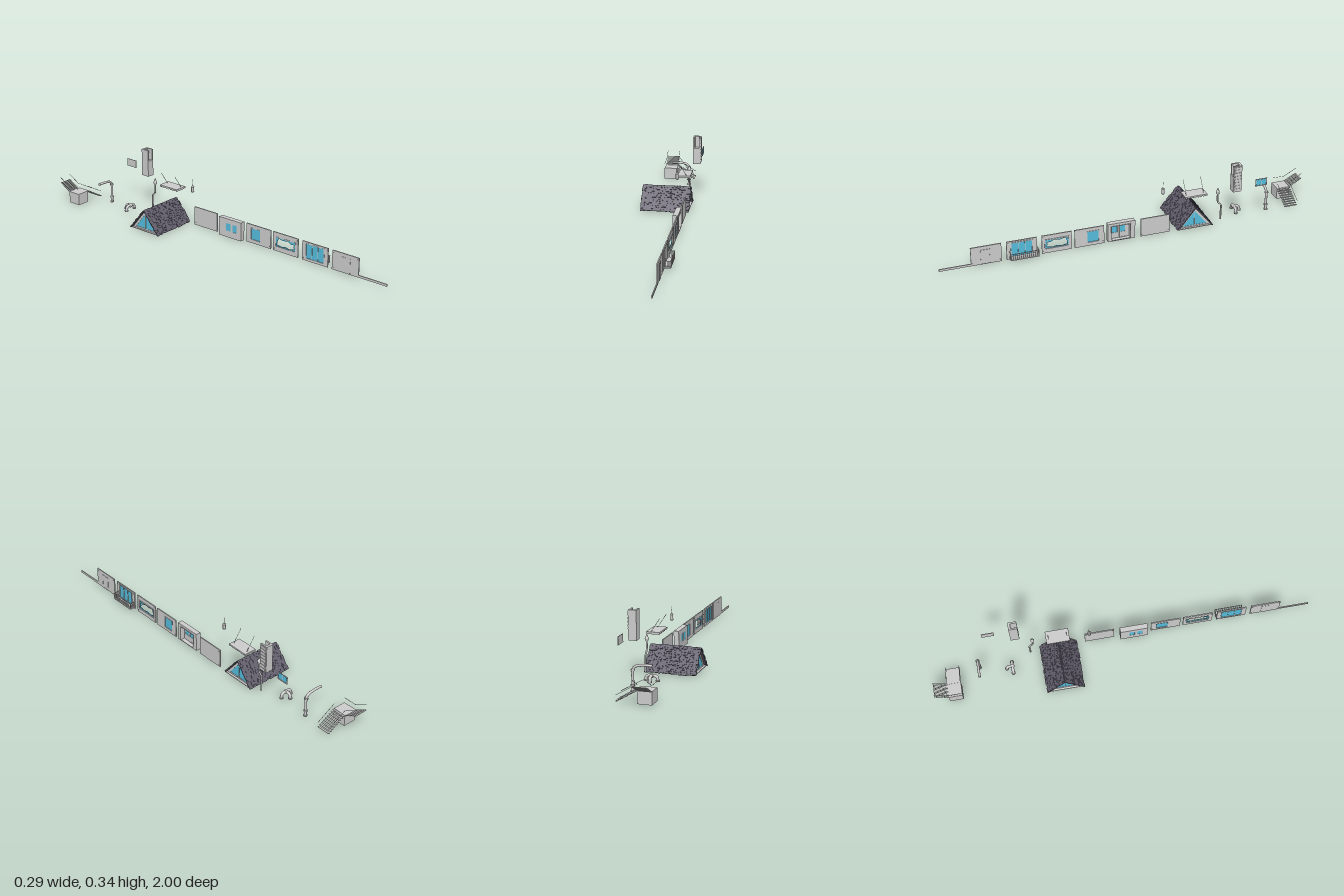
import * as THREE from 'three';

const grey = new THREE.MeshStandardMaterial({ color: 0xcccccc, side: THREE.DoubleSide });
const glass = new THREE.MeshStandardMaterial({ color: 0x55bcdc, side: THREE.DoubleSide });
const slate = new THREE.MeshStandardMaterial({ color: 0x625e6c });

let seed = 7;
const rand = () => (seed = (seed * 16807) % 2147483647) / 2147483647;

function add(parent, name, geometry, material = grey) {
  const mesh = new THREE.Mesh(geometry, material);
  mesh.name = name;
  parent.add(mesh);
  return mesh;
}
// Box given by its limits on each axis
function box(parent, name, x, y, z, material) {
  const m = add(parent, name, new THREE.BoxGeometry(Math.abs(x[1] - x[0]), Math.abs(y[1] - y[0]), Math.abs(z[1] - z[0])), material);
  m.position.set((x[0] + x[1]) / 2, (y[0] + y[1]) / 2, (z[0] + z[1]) / 2);
  return m;
}
function cyl(parent, name, x, y0, y1, z, rBottom, rTop = rBottom, sides = 12) {
  const m = add(parent, name, new THREE.CylinderGeometry(rTop, rBottom, y1 - y0, sides));
  m.position.set(x, (y0 + y1) / 2, z);
  return m;
}
function tube(parent, name, points, radius) {
  const curve = new THREE.CatmullRomCurve3(points.map(p => new THREE.Vector3(...p)));
  return add(parent, name, new THREE.TubeGeometry(curve, 24, radius, 12));
}
function rod(parent, name, a, b, radius = 0.0012) {
  const line = new THREE.LineCurve3(new THREE.Vector3(...a), new THREE.Vector3(...b));
  return add(parent, name, new THREE.TubeGeometry(line, 1, radius, 6));
}
// Extrude a polygon of [z, y] points from x0 to x1, with optional hole polygons
function plate(parent, name, pts, holes, x0, x1, material) {
  const v = list => list.map(([z, y]) => new THREE.Vector2(-z, y));
  const shape = new THREE.Shape(v(pts));
  for (const h of holes) shape.holes.push(new THREE.Path(v(h)));
  const g = new THREE.ExtrudeGeometry(shape, { depth: x1 - x0, bevelEnabled: false });
  return add(parent, name, g.rotateY(Math.PI / 2).translate(x0, 0, 0), material);
}
const rect = (z0, z1, y0, y1) => [[z0, y0], [z1, y0], [z1, y1], [z0, y1]];
const X0 = 0.1, X1 = 0.106, H = 0.101;

function frame(parent, z0, z1, y0, y1, x0, x1, t = 0.004) {
  plate(parent, 'frame', rect(z0 - t, z1 + t, y0 - t, y1 + t), [rect(z0, z1, y0, y1)], x0, x1);
}
function wall(root, name, z0, z1, holes = []) {
  const g = new THREE.Group();
  g.name = name;
  root.add(g);
  plate(g, 'wallPanel', rect(z0, z1, 0, H), holes, X0, X1);
  return g;
}

function buildWalls(root) {
  box(root, 'ledge', [X0 + 0.001, X1], [0, 0.012], [0.84, 1]);

  const door = wall(root, 'doorWall', 0.685, 0.84);
  box(door, 'doorLeaf', [X0 - 0.001, X1 + 0.001], [0.002, 0.079], [0.745, 0.788]);
  frame(door, 0.745, 0.788, 0.004, 0.079, X0 - 0.001, X1 + 0.002, 0.003);

  const balcony = wall(root, 'balconyWall', 0.505, 0.66, [rect(0.53, 0.635, 0.014, 0.09)]);
  box(balcony, 'glass', [0.102, 0.104], [0.014, 0.09], [0.53, 0.635], glass);
  frame(balcony, 0.53, 0.635, 0.014, 0.09, X0 - 0.001, X1 + 0.003);
  for (const z of [0.565, 0.6]) box(balcony, 'mullion', [0.1, 0.107], [0.014, 0.09], [z - 0.001, z + 0.001]);
  box(balcony, 'balconyFloor', [X1, 0.14], [0.01, 0.015], [0.502, 0.647]);
  box(balcony, 'handrail', [0.137, 0.14], [0.044, 0.047], [0.502, 0.647]);
  for (const z of [0.5035, 0.6455]) {
    box(balcony, 'sideHandrail', [X1, 0.14], [0.044, 0.047], [z - 0.0015, z + 0.0015]);
    for (let i = 0; i < 5; i++) box(balcony, 'sideBaluster', [0.109 + i * 0.006, 0.111 + i * 0.006], [0.015, 0.044], [z - 0.001, z + 0.001]);
  }
  for (let i = 0; i <= 14; i++) {
    const z = 0.504 + i * 0.0101;
    box(balcony, 'baluster', [0.1375, 0.1395], [0.015, 0.044], [z - 0.001, z + 0.001]);
  }

  const broken = wall(root, 'brokenWindowWall', 0.325, 0.48, [rect(0.343, 0.462, 0.026, 0.074)]);
  frame(broken, 0.343, 0.462, 0.026, 0.074, X0 - 0.001, X1 + 0.003);
  plate(broken, 'brokenGlass', rect(0.343, 0.462, 0.026, 0.074), [[
    [0.348, 0.034], [0.375, 0.029], [0.4, 0.034], [0.425, 0.029], [0.456, 0.036],
    [0.45, 0.05], [0.458, 0.06], [0.435, 0.058], [0.415, 0.069], [0.385, 0.064], [0.358, 0.07], [0.35, 0.052],
  ]], 0.102, 0.104, glass);

  const plain = wall(root, 'windowWall', 0.155, 0.31, [rect(0.185, 0.243, 0.02, 0.08)]);
  box(plain, 'glass', [0.102, 0.104], [0.02, 0.08], [0.185, 0.243], glass);
  frame(plain, 0.185, 0.243, 0.02, 0.08, X0 - 0.001, X1 + 0.002, 0.003);

  // Wall with a deep recess holding an entrance
  const bay = wall(root, 'recessedEntrance', -0.01, 0.135, [rect(0.015, 0.115, 0.003, 0.085)]);
  plate(bay, 'recessSides', rect(-0.01, 0.135, 0, H), [rect(0.015, 0.115, 0.003, 0.085)], 0.082, X0);
  frame(bay, 0.015, 0.115, 0.006, 0.085, X1, X1 + 0.002, 0.003);
  plate(bay, 'recessBack', rect(-0.01, 0.135, 0, H),
    [rect(0.036, 0.065, 0.035, 0.076), rect(0.078, 0.105, 0.035, 0.076)], 0.079, 0.082);
  box(bay, 'glass', [0.08, 0.081], [0.035, 0.076], [0.036, 0.105], glass);
  frame(bay, 0.036, 0.065, 0.006, 0.076, 0.082, 0.084, 0.003);

  wall(root, 'blankWall', -0.195, -0.04);

  // Pair of tie bolts near each end of every wall
  for (const [a, b] of [[0.685, 0.84], [0.505, 0.66], [0.325, 0.48], [0.155, 0.31], [-0.195, -0.04]])
    for (const z of [a + 0.007, b - 0.007]) for (const y of [0.012, 0.09])
      box(root, 'wallBolt', [X0 - 0.001, X1 + 0.001], [y - 0.002, y + 0.002], [z - 0.002, z + 0.002]);
}

function buildRoof(root) {
  const roof = new THREE.Group();
  roof.name = 'roof';
  roof.position.set(-0.014, 0, -0.335);
  root.add(roof);
  const run = 0.094, rise = 0.115, len = Math.hypot(run, rise);
  box(roof, 'roofBase', [-0.127, 0.127], [0, 0.004], [-run, run]);
  for (const s of [-1, 1]) {
    const [a, b] = s > 0 ? [0.112, 0.116] : [-0.116, -0.112];
    const tri = (w, y0, y1) => [[-w, y0], [w, y0], [0, y1]];
    plate(roof, 'gable', tri(run - 0.004, 0.003, rise - 0.004), [tri(0.066, 0.011, 0.093)], a, b);
    plate(roof, 'gableGlass', tri(0.067, 0.01, 0.094), [], a + 0.0015, b - 0.0015, glass);
    box(roof, 'gableMullion', [a - 0.001, b + 0.001], [0.01, 0.094], [-0.0015, 0.0015]);
  }
  // Two slopes covered with uneven shingles
  for (const turn of [0, Math.PI]) {
    const side = new THREE.Group();
    side.name = 'roofSlope';
    side.position.y = rise;
    side.rotation.set(Math.atan2(rise, run), turn, 0, 'YXZ');
    roof.add(side);
    box(side, 'slopeDeck', [-0.128, 0.128], [-0.003, 0.001], [0, len], slate);
    const rows = 13, pitch = len / rows;
    for (let r = 0; r < rows; r++) {
      let x = -0.129 - rand() * 0.004;
      while (x < 0.125) {
        const w = Math.min(0.009 + rand() * 0.016, 0.132 - x);
        const z = r * pitch + rand() * 0.004;
        const t = 0.002 + rand() * 0.003;
        const m = box(side, 'shingle', [x + 0.0004, x + w - 0.0004], [0, t], [z, z + pitch * (0.85 + rand() * 0.35)], slate);
        m.rotation.x = -0.1 * rand();
        x += w;
      }
    }
  }
}

function buildFittings(root) {
  // Hanging lantern
  const [lx, lz] = [0.061, -0.174];
  cyl(root, 'lanternBody', lx, 0.203, 0.229, lz, 0.0075, 0.0075, 8);
  cyl(root, 'lanternBase', lx, 0.199, 0.203, lz, 0.006, 0.0095, 8);
  cyl(root, 'lanternCap', lx, 0.229, 0.234, lz, 0.0095, 0.005, 8);
  for (let i = 0; i < 6; i++) cyl(root, 'lanternChain', lx, 0.234 + i * 0.006, 0.2385 + i * 0.006, lz, 0.001, 0.001, 6);

  // Canopy hung from two chains, with ribs below
  box(root, 'canopy', [0.05, 0.118], [0.182, 0.19], [-0.395, -0.275]);
  for (let i = 0; i < 9; i++) box(root, 'canopyRib', [0.052, 0.116], [0.178, 0.182], [-0.392 + i * 0.0137, -0.387 + i * 0.0137]);
  for (const z of [-0.287, -0.382]) for (let i = 0; i < 12; i++) {
    const p = t => [0.096 - 0.046 * t, 0.19 + 0.069 * t, z];
    rod(root, 'canopyChain', p(i / 12), p((i + 0.75) / 12), 0.0013);
  }

  // Bent flue with a conical cap
  tube(root, 'flue', [[0.09, 0.012, -0.484], [0.09, 0.06, -0.484], [0.09, 0.095, -0.484], [0.09, 0.118, -0.466], [0.09, 0.14, -0.464], [0.09, 0.168, -0.464]], 0.0045);
  cyl(root, 'flueCollar', 0.09, 0.165, 0.175, -0.464, 0.008, 0.01);
  cyl(root, 'flueCap', 0.09, 0.175, 0.198, -0.464, 0.01, 0.001);

  // Three-way pipe junction
  const [jx, jz] = [0.022, -0.588];
  for (const [dx, dz] of [[-1, 0], [1, 0], [0, -1]]) {
    const at = (d, y) => [jx + dx * d, y, jz + dz * d];
    tube(root, 'junctionArm', [at(0, 0.032), at(0.014, 0.032), at(0.026, 0.026), at(0.03, 0.008)], 0.0075);
    const [ex, , ez] = at(0.03, 0);
    cyl(root, 'junctionFlange', ex, 0.005, 0.011, ez, 0.0105);
  }
  add(root, 'junctionHub', new THREE.SphereGeometry(0.011, 16, 10)).position.set(jx, 0.031, jz);

  // Pipe with an overhead arm
  tube(root, 'archPipe', [[0.054, 0, -0.757], [0.054, 0.05, -0.757], [0.054, 0.1, -0.757], [0.045, 0.118, -0.757], [0.015, 0.127, -0.757], [-0.015, 0.129, -0.757], [-0.042, 0.128, -0.757]], 0.0065);
  for (const y of [0, 0.028, 0.1]) cyl(root, 'pipeRing', 0.054, y, y + 0.006, -0.757, 0.0105);

  // Tall shaft, open at the top with a notch on two sides
  const [sz0, sz1] = [-0.571, -0.526];
  const shaft = new THREE.Group();
  shaft.name = 'ventShaft';
  root.add(shaft);
  box(shaft, 'shaftBody', [0.103, 0.143], [0.188, 0.275], [sz0, sz1]);
  for (const x of [[0.103, 0.111], [0.135, 0.143]]) box(shaft, 'shaftCheek', x, [0.275, 0.336], [sz0, sz1]);
  box(shaft, 'shaftWeb', [0.111, 0.135], [0.275, 0.336], [sz0, sz0 + 0.012]);
  box(shaft, 'shaftFace', [0.143, 0.146], [0.195, 0.33], [sz0 + 0.003, sz1 - 0.003]);
  for (let i = 0; i < 7; i++) box(shaft, 'louver', [0.146, 0.148], [0.2 + i * 0.018, 0.209 + i * 0.018], [sz0 + 0.006, sz1 - 0.006]);

  // Small framed window
  box(root, 'smallWindowBack', [0.139, 0.14], [0.2, 0.241], [-0.714, -0.65]);
  frame(root, -0.711, -0.653, 0.203, 0.238, 0.139, 0.142, 0.003);
  for (const z of [-0.709, -0.68]) box(root, 'smallWindowGlass', [0.14, 0.141], [0.205, 0.236], [z, z + 0.025], glass);
}

function buildStairs(root) {
  const g = new THREE.Group();
  g.name = 'stairs';
  root.add(g);
  box(g, 'landing', [-0.1, -0.03], [0, 0.063], [-0.932, -0.86]);
  // One flight climbs to the rear, one descends to the left
  for (let i = 0; i < 9; i++) {
    const t = (i + 0.5) / 9, z = -0.932 - 0.068 * t, y = 0.063 + 0.038 * t;
    box(g, 'upperTread', [-0.1, -0.03], [y - 0.003, y], [z - 0.0032, z + 0.0032]);
    const x = -0.03 + 0.104 * t, d = 0.062 * (1 - t);
    box(g, 'lowerTread', [x - 0.0048, x + 0.0048], [d, d + 0.003], [-0.932, -0.86]);
  }
  for (const x of [-0.099, -0.031]) rod(g, 'upperRail', [x, 0.091, -0.932], [x, 0.129, -0.999]);
  for (const z of [-0.931, -0.861]) rod(g, 'lowerRail', [-0.03, 0.091, z], [0.073, 0.032, z]);
  rod(g, 'landingRail', [-0.099, 0.091, -0.932], [-0.099, 0.091, -0.86]);
}

export function createModel() {
  const root = new THREE.Group();
  root.name = 'buildingKit';
  buildWalls(root);
  buildRoof(root);
  buildFittings(root);
  buildStairs(root);
  return root;
}
